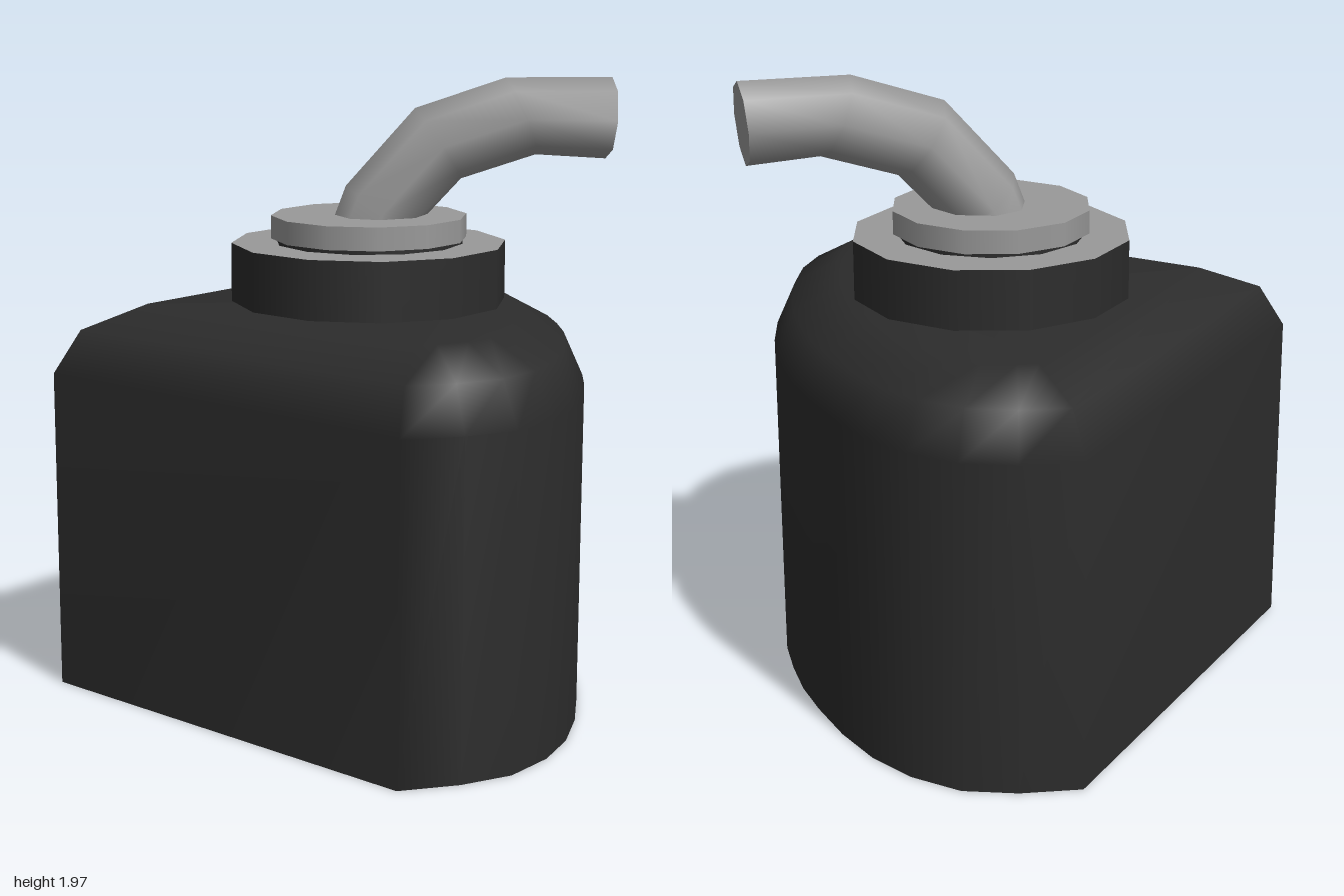
import * as THREE from 'three';

// The body is an open shell, so black shows from both sides
const black = new THREE.MeshStandardMaterial({ color: 0x2c2c2c, side: THREE.DoubleSide });
black.name = 'black';
const grey = new THREE.MeshStandardMaterial({ color: 0x999999 });
grey.name = 'grey';

const middle = (ring) => [0, 1, 2].map((k) => ring.reduce((s, p) => s + p[k], 0) / ring.length);

// Geometry from points and triangle indices, with smooth normals
function build(points, index) {
  const geo = new THREE.BufferGeometry();
  geo.setAttribute('position', new THREE.Float32BufferAttribute(points.flat(), 3));
  geo.setIndex(index);
  geo.computeVertexNormals();
  return geo;
}

// Triangles of a fan from point c over n points starting at base
function fan(c, base, n) {
  return Array.from({ length: n - 1 }, (_, i) => [c, base + i, base + i + 1]).flat();
}

// Skin over rings whose last point repeats the first, leaving a crease along that seam,
// unless smoothSeam is set; closeTop adds a fan sharing the last ring
function loft(rings, { smoothSeam = false, closeTop = false }) {
  const n = rings[0].length, index = [], points = rings.flat();
  for (let r = 0; r < rings.length - 1; r++) {
    for (let i = 0; i < n - 1; i++) {
      const a = r * n + i, b = smoothSeam && i === n - 2 ? r * n : a + 1;
      index.push(a, b, b + n, a, b + n, a + n);
    }
  }
  if (closeTop) {
    index.push(...fan(points.length, points.length - n, n));
    points.push(middle(rings.at(-1).slice(1)));
  }
  return build(points, index);
}

// Moves every edge of an outline inwards by d, sets it at height y and closes it
function inset(outline, d, y) {
  const n = outline.length;
  const normal = (i) => {
    const [x1, z1] = outline[i % n], [x2, z2] = outline[(i + 1) % n];
    const l = Math.hypot(x2 - x1, z2 - z1);
    return [-(z2 - z1) / l, (x2 - x1) / l];
  };
  const ring = outline.map(([x, z], i) => {
    const a = normal(i + n - 1), b = normal(i);
    const k = d / (1 + a[0] * b[0] + a[1] * b[1]);
    return [x - k * (a[0] + b[0]), y, z - k * (a[1] + b[1])];
  });
  return [...ring, ring[0]];
}

export function createModel() {
  const model = new THREE.Group();
  model.name = 'pumpBottle';
  const add = (name, geo, material, parent = model) => {
    const mesh = new THREE.Mesh(geo, material);
    mesh.name = name;
    parent.add(mesh);
    return mesh;
  };

  // Body: pointed on one side, rounded on the other, bevelled shoulder, open underneath
  const half = [[0.1, 1], [0.29, 0.97], [0.45, 0.91], [0.575, 0.79],
    [0.66, 0.65], [0.72, 0.48], [0.76, 0.3], [0.783, 0.15]];
  const outline = [[-0.9, 0], ...half, [0.788, 0], ...half.map(([x, z]) => [x, -z]).reverse()];
  const levels = [[0, 0], [0, 1.04], [0.063, 1.18], [0.215, 1.262]];
  add('body', loft(levels.map(([d, y]) => inset(outline, d, y)), { closeTop: true }), black);

  // Round parts of the pump, all on one axis
  const pump = new THREE.Group();
  pump.name = 'pump';
  pump.position.set(0.115, 0, -0.033);
  model.add(pump);
  const disc = (name, r, y0, y1, material) => {
    const mesh = add(name, new THREE.CylinderGeometry(r, r, y1 - y0, 12), material, pump);
    mesh.position.y = (y0 + y1) / 2;
    return mesh;
  };
  disc('collar', 0.442, 1.255, 1.45, [black, grey, black]);
  disc('seal', 0.303, 1.445, 1.468, black).rotation.y = Math.PI / 12;
  disc('flange', 0.315, 1.463, 1.537, grey);

  // Spout: eight-sided pipe, each ring given by its upper and lower point
  const bends = [[-0.02, 1.47, 0.24, 1.46], [0.04, 1.63, 0.25, 1.48], [0.26, 1.875, 0.41, 1.65],
    [0.55, 1.97, 0.65, 1.725], [0.893, 1.97, 0.877, 1.71]];
  const pipe = bends.map(([x1, y1, x2, y2]) => Array.from({ length: 9 }, (_, i) => {
    const a = (i * Math.PI) / 4, c = Math.cos(a) / 2;
    return [(x1 + x2) / 2 + (x1 - x2) * c, (y1 + y2) / 2 + (y1 - y2) * c, -0.03 + 0.143 * Math.sin(a)];
  }));
  add('spout', loft(pipe, { smoothSeam: true }), grey);
  const end = pipe.at(-1);
  add('spoutEnd', build([...end, middle(end.slice(1))], fan(9, 0, 9)), grey);

  return model;
}
